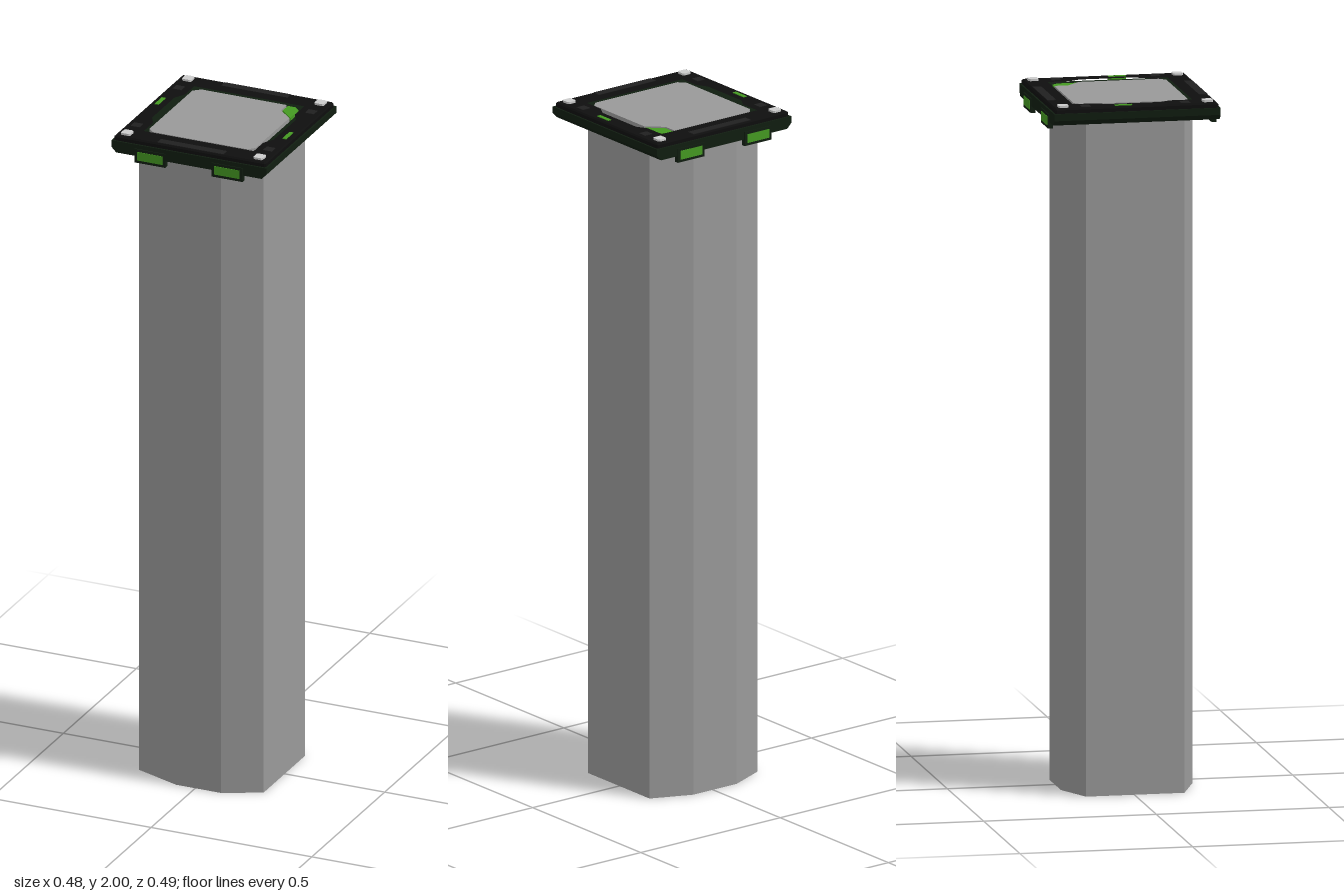
import * as THREE from 'three';

const mat = (color) => new THREE.MeshStandardMaterial({ color, flatShading: true });

// Outline of [x, z] points as a shape that will be laid flat
function outline(points) {
  return new THREE.Shape(points.map(([x, z]) => new THREE.Vector2(x, -z)));
}

// Horizontal slab between y0 and y1, with an optional bevelled edge
function slab(shape, y0, y1, bevel = 0) {
  const geo = new THREE.ExtrudeGeometry(shape, {
    depth: y1 - y0 - 2 * bevel, bevelEnabled: bevel > 0, bevelSegments: 1,
    bevelSize: bevel, bevelThickness: bevel, bevelOffset: -bevel,
  });
  return geo.rotateX(-Math.PI / 2).translate(0, y0 + bevel, 0);
}

// Square outline with cut corners
function cutSquare(r, c) {
  return [[-r + c, -r], [r - c, -r], [r, -r + c], [r, r - c], [r - c, r], [-r + c, r], [-r, r - c], [-r, -r + c]];
}

export function createModel() {
  const model = new THREE.Group();
  const grey = mat(0x999999), light = mat(0xcccccc), black = mat(0x0e0e0e);
  const charcoal = mat(0x1f1f1f), darkGreen = mat(0x101d10), green = mat(0x459a22);

  function add(name, geo, material, parent = model) {
    const mesh = new THREE.Mesh(geo, material);
    mesh.name = name;
    parent.add(mesh);
    return mesh;
  }
  function box(name, w, h, d, x, y, z, material, parent) {
    return add(name, new THREE.BoxGeometry(w, h, d).translate(x, y, z), material, parent);
  }

  // Tall column: flat sides, faceted front and back
  const section = [
    [-0.198, 0.145], [-0.06, 0.197], [0.08, 0.197], [0.189, 0.145],
    [0.189, -0.14], [0.07, -0.189], [-0.085, -0.189], [-0.198, -0.14],
  ];
  add('column', slab(outline(section), 0, 1.955), grey);

  // Base plate, narrowing towards its underside on the left and right
  const profile = new THREE.Shape([
    [-0.226, 1.945], [0.226, 1.945], [0.241, 1.96], [0.241, 1.98], [-0.241, 1.98], [-0.241, 1.96],
  ].map(([x, y]) => new THREE.Vector2(x, y)));
  add('basePlate', new THREE.ExtrudeGeometry(profile, { depth: 0.482, bevelEnabled: false }).translate(0, 0, -0.241), darkGreen);

  // Raised frame with a side-notched opening
  const frame = outline(cutSquare(0.236, 0.004));
  const half = [[0.175, -0.177], [0.175, -0.11], [0.193, -0.078], [0.193, 0.078], [0.175, 0.11], [0.175, 0.177]];
  const opening = [...half, ...half.map(([x, z]) => [-x, -z])];
  frame.holes.push(new THREE.Path(opening.map(([x, z]) => new THREE.Vector2(x, -z))));
  add('frame', slab(frame, 1.97, 1.994, 0.004), black);

  // Lid with one corner cut away for the marker
  const lid = [
    [-0.145, -0.165], [0.12, -0.165], [0.12, -0.125], [0.165, -0.085], [0.165, 0.147],
    [0.147, 0.165], [-0.147, 0.165], [-0.165, 0.147], [-0.165, -0.147],
  ];
  add('lid', slab(outline(lid), 1.975, 1.992), grey);
  const marker = [[0.124, -0.165], [0.148, -0.165], [0.165, -0.148], [0.165, -0.091], [0.124, -0.129]];
  add('cornerMarker', slab(outline(marker), 1.975, 1.99), green);

  // Corner studs and dark pads
  for (const sx of [-1, 1]) {
    for (const sz of [-1, 1]) {
      const stud = slab(outline(cutSquare(0.0145, 0.004)), 1.985, 2);
      add('cornerStud', stud.translate(sx * 0.206, 0, sz * 0.209), light);
      box('pad', 0.027, 0.01, 0.027, sx * 0.206, 1.9905, sz * 0.144, charcoal);
    }
    // Side indicator, staggered between the two sides
    box('indicator', 0.012, 0.01, 0.05, sx * 0.215, 1.991, sx * 0.036, green);
  }

  // Front and back: inlay strip and two hanging clips each
  for (const sz of [-1, 1]) {
    box('inlayStrip', 0.205, 0.01, 0.025, 0, 1.9905, sz * 0.219, charcoal);
    for (const sx of [-1, 1]) {
      const clip = new THREE.Group();
      clip.name = 'clip';
      box('clipHolder', 0.096, 0.042, 0.014, sx * 0.12, 1.947, sz * 0.237, darkGreen, clip);
      box('clipFace', 0.078, 0.026, 0.014, sx * 0.12, 1.947, sz * 0.2385, green, clip);
      model.add(clip);
    }
  }
  return model;
}
